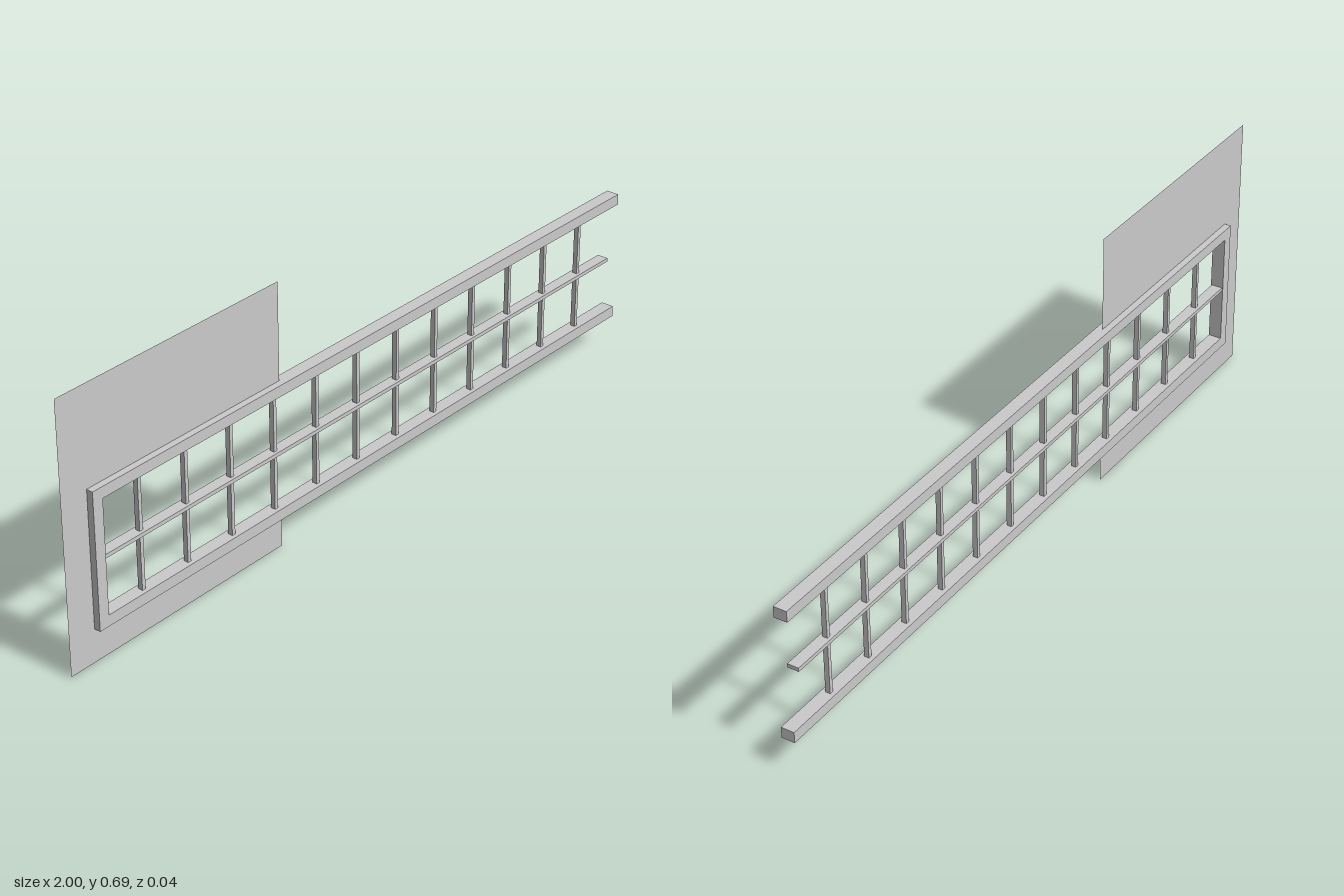
import * as THREE from 'three';

export function createModel() {
  const model = new THREE.Group();
  model.name = 'windowSection';
  const grey = new THREE.MeshStandardMaterial({ color: 0xcacaca });
  grey.name = 'light grey';
  const greySheet = new THREE.MeshStandardMaterial({ color: 0xcacaca, side: THREE.DoubleSide });
  greySheet.name = 'light grey sheet';

  // Box given by its x and y limits, centred on z = 0
  function bar(name, x0, x1, y0, y1, depth) {
    const mesh = new THREE.Mesh(new THREE.BoxGeometry(x1 - x0, y1 - y0, depth), grey);
    mesh.position.set((x0 + x1) / 2, (y0 + y1) / 2, 0);
    mesh.name = name;
    model.add(mesh);
  }

  const left = -0.923, right = 1, bottom = 0.086, top = 0.441;
  const rail = 0.029, depth = 0.035;
  const innerLeft = left + rail, innerBottom = bottom + rail, innerTop = top - rail;

  // Three-sided outer frame, open at the +x end
  bar('topRail', left, right, innerTop, top, depth);
  bar('bottomRail', left, right, bottom, innerBottom, depth);
  bar('endPost', left, innerLeft, innerBottom, innerTop, depth);

  // Slim glazing bars
  const half = 0.005;
  const midY = (bottom + top) / 2;
  bar('middleBar', innerLeft, 0.968, midY - half, midY + half, 0.03);
  for (let i = 0; i < 12; i++) {
    const x = -0.773 + i * 0.1473;
    bar('uprightBar' + (i + 1), x - half, x + half, innerBottom, innerTop, 0.013);
  }

  // Thin wall sheet, notched around the frame
  const edge = -0.307, wallTop = 0.693;
  const outline = [
    [-1, 0], [edge, 0], [edge, bottom], [left, bottom],
    [left, top], [edge, top], [edge, wallTop], [-1, wallTop],
  ].map(([x, y]) => new THREE.Vector2(x, y));
  const wall = new THREE.Mesh(new THREE.ShapeGeometry(new THREE.Shape(outline)), greySheet);
  wall.name = 'wallSheet';
  model.add(wall);

  return model;
}
